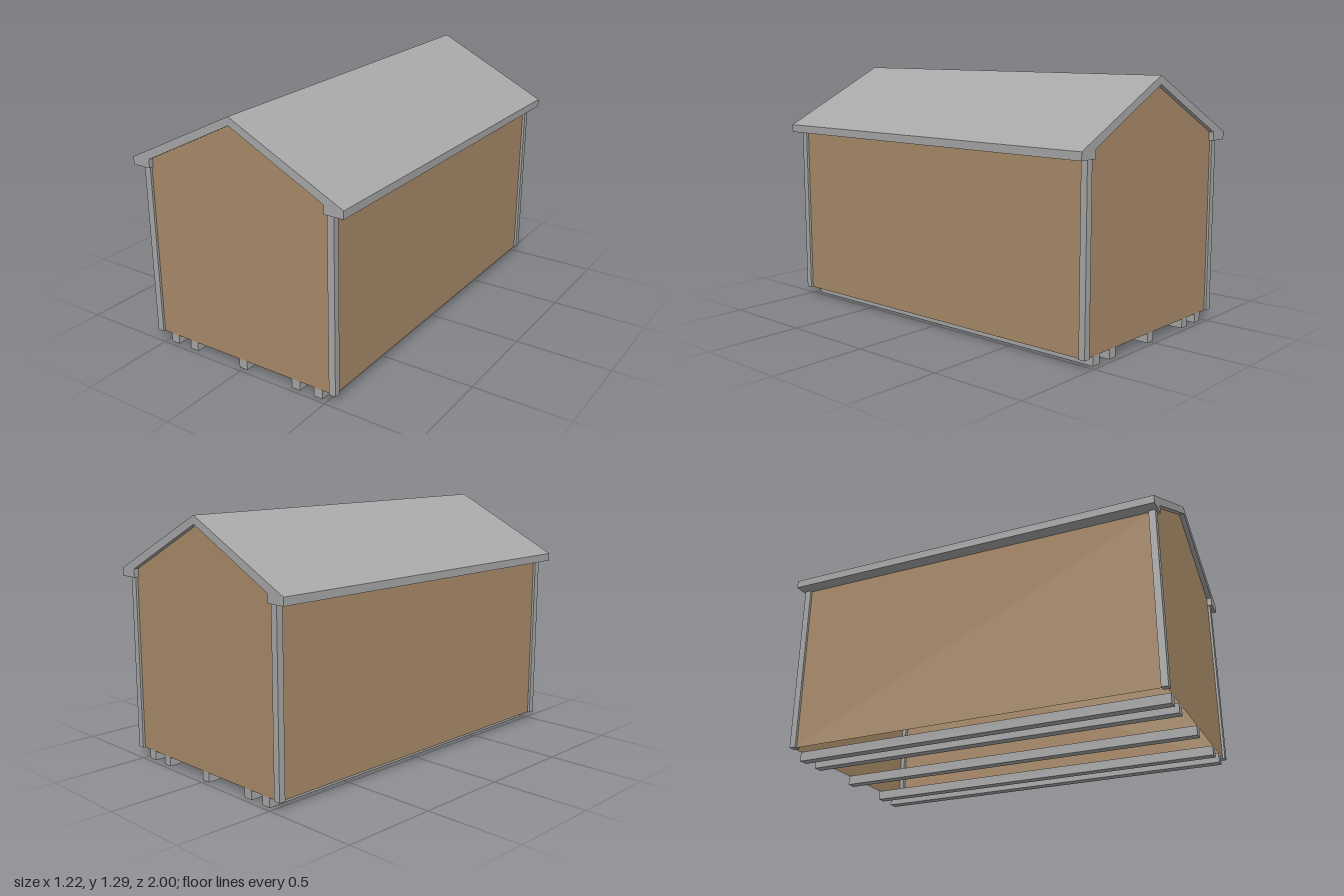
import * as THREE from 'three';

export function createModel() {
  const group = new THREE.Group();
  group.name = 'shed';
  const trim = new THREE.MeshStandardMaterial({ color: 0xa8a8a8 });
  trim.name = 'grey trim';
  const siding = new THREE.MeshStandardMaterial({ color: 0xa98b69, side: THREE.DoubleSide });
  siding.name = 'tan siding';

  const wallX = 0.54, wallZ = 0.975, floorY = 0.048, eaveY = 0.944;

  const add = (name, geometry, material, x = 0, y = 0, z = 0) => {
    const mesh = new THREE.Mesh(geometry, material);
    mesh.name = name;
    mesh.position.set(x, y, z);
    group.add(mesh);
    return mesh;
  };
  const shapeOf = (points) => new THREE.Shape(points.map(([x, y]) => new THREE.Vector2(x, y)));

  // Roof: one gabled section with boxed eaves, open to the inside
  const roof = new THREE.ExtrudeGeometry(shapeOf([
    [-0.612, eaveY], [-0.509, eaveY], [-0.509, 0.988], [0, 1.246], [0.509, 0.988],
    [0.509, eaveY], [0.612, eaveY], [0.612, 0.984], [0, 1.288], [-0.612, 0.984],
  ]), { depth: 2, bevelEnabled: false });
  add('roof', roof, trim, 0, 0, -1);

  // Gable walls, tucked under the roof
  const gable = new THREE.ShapeGeometry(shapeOf([
    [-wallX, floorY], [wallX, floorY], [wallX, 0.975], [0, 1.248], [-wallX, 0.975],
  ]));
  add('frontWall', gable, siding, 0, 0, wallZ);
  add('backWall', gable, siding, 0, 0, -wallZ).rotation.y = Math.PI;

  // Side walls
  const side = new THREE.PlaneGeometry(wallZ * 2, eaveY - floorY);
  for (const s of [1, -1]) {
    add(s > 0 ? 'leftWall' : 'rightWall', side, siding, s * wallX, (eaveY + floorY) / 2, 0)
      .rotation.y = s * Math.PI / 2;
  }

  // Corner posts, slightly proud of the walls
  const post = new THREE.BoxGeometry(0.036, eaveY - floorY, 0.034);
  for (const sx of [1, -1]) {
    for (const sz of [1, -1]) {
      add('cornerPost', post, trim, sx * 0.535, (eaveY + floorY) / 2, sz * 0.97);
    }
  }

  // Floor skids running front to back
  const skid = new THREE.BoxGeometry(0.048, floorY, wallZ * 2);
  for (const x of [-0.447, -0.319, 0, 0.319, 0.447]) {
    add('skid', skid, trim, x, floorY / 2, 0);
  }

  return group;
}
